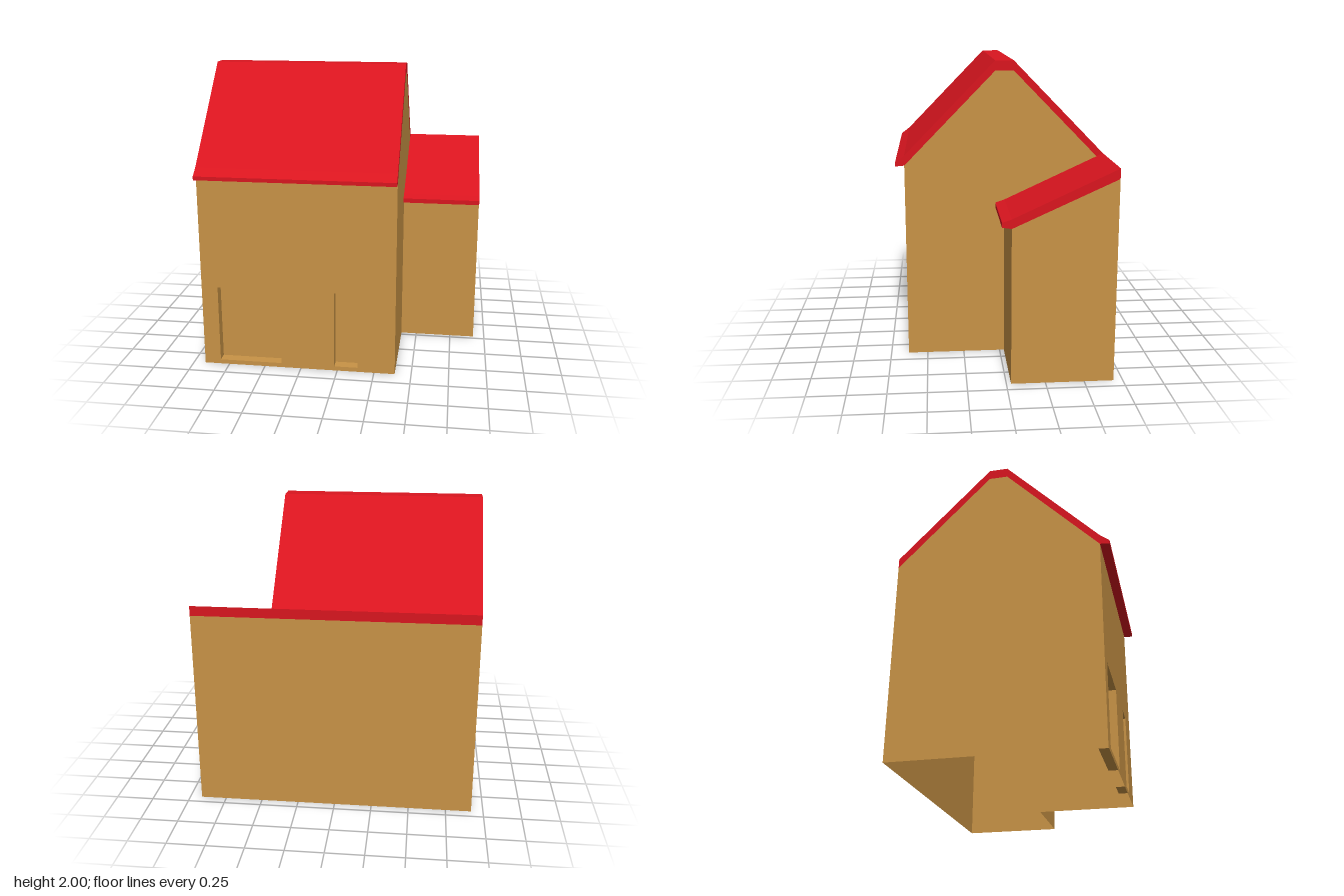
import * as THREE from 'three';

const wallMat = new THREE.MeshStandardMaterial({ color: 0xc89346, side: THREE.DoubleSide, flatShading: true });
const roofMat = new THREE.MeshStandardMaterial({ color: 0xd9151f, flatShading: true });

const X0 = -0.92, XM = 0.39, X1 = 0.92;      // right end, junction with the annex, left end
const FRONT = 0.63, STEP = -0.03, BACK = -0.69;
const EAVE = 1.32, LOW = 1.02;

const toShape = (pts) => new THREE.Shape(pts.map(([a, b]) => new THREE.Vector2(a, b)));
const rect = (a, b, c, d) => [[a, b], [c, b], [c, d], [a, d]];

function add(group, name, geometry, material) {
  const mesh = new THREE.Mesh(geometry, material);
  mesh.name = name;
  group.add(mesh);
  return mesh;
}

// Thin wall facing along z, outlined in (x, y)
function wallZ(group, name, pts, z, holes = []) {
  const shape = toShape(pts);
  holes.forEach((h) => shape.holes.push(toShape(h)));
  const geo = new THREE.ShapeGeometry(shape);
  if (z < 0 && name === 'backWall') geo.rotateY(Math.PI).scale(1, 1, 1);
  add(group, name, geo.translate(0, 0, z), wallMat);
}

// Thin wall facing along x, outlined in (z, y)
function wallX(group, name, pts, x) {
  add(group, name, new THREE.ShapeGeometry(toShape(pts)).rotateY(-Math.PI / 2).translate(x, 0, 0), wallMat);
}

// Solid roof: a (z, y) profile swept from xa to xb
function roof(group, name, pts, xa, xb) {
  const geo = new THREE.ExtrudeGeometry(toShape(pts), { depth: xb - xa, bevelEnabled: false });
  add(group, name, geo.rotateY(-Math.PI / 2).translate(xb, 0, 0), roofMat);
}

// Recess behind an opening: four reveals and a back panel
function recess(group, name, [xa, ya, xb, yb], depth) {
  const part = new THREE.Group();
  part.name = name;
  const z = FRONT - depth;
  wallZ(part, 'panel', rect(xa, ya, xb, yb), z);
  for (const x of [xa, xb]) wallX(part, 'sideReveal', rect(z, ya, FRONT, yb), x);
  for (const y of [ya, yb]) {
    const geo = new THREE.PlaneGeometry(xb - xa, depth).rotateX(-Math.PI / 2);
    add(part, y === ya ? 'sill' : 'lintel', geo.translate((xa + xb) / 2, y, FRONT - depth / 2), wallMat);
  }
  group.add(part);
}

export function createModel() {
  const model = new THREE.Group();
  model.name = 'house';

  // Front wall with two recessed openings
  const openings = { wideDoor: [-0.81, 0.03, -0.385, 0.56], narrowDoor: [-0.02, 0.03, 0.14, 0.56] };
  wallZ(model, 'frontWall', rect(X0, 0, XM, EAVE), FRONT, Object.values(openings).map((o) => rect(...o)));
  for (const [name, o] of Object.entries(openings)) recess(model, name, o, 0.07);

  // Annex front and the shared back wall; the shell is open underneath
  wallZ(model, 'annexFrontWall', rect(XM, 0, X1, LOW), STEP);
  wallZ(model, 'backWall', rect(X0, 0, X1, EAVE), BACK);

  // Gable ends and annex end
  const ridge = [[FRONT, 0], [FRONT, EAVE], [0.03, 1.935], [-0.09, 1.935]];
  wallX(model, 'rightGable', [...ridge, [BACK, EAVE], [BACK, 0]], X0);
  wallX(model, 'leftGable', [...ridge, [-0.65, 1.362], [STEP, 1.08], [STEP, 0]], XM);
  wallX(model, 'annexEndWall', [[STEP, 0], [STEP, LOW], [BACK, EAVE], [BACK, 0]], X1);

  // Main roof with a flat ridge and a flared front eave
  roof(model, 'mainRoof', [
    [0.69, 1.315], [0.69, 1.34], [0.63, 1.385], [0.03, 2], [-0.09, 2], [BACK, 1.385],
    [BACK, EAVE], [-0.09, 1.935], [0.03, 1.935], [FRONT, EAVE],
  ], X0, XM);

  // Lean-to annex roof
  roof(model, 'annexRoof', [
    [BACK, EAVE], [STEP, LOW], [0.03, 1.03], [0.03, 1.06], [STEP, 1.08], [BACK, 1.385],
  ], XM, X1);

  return model;
}
